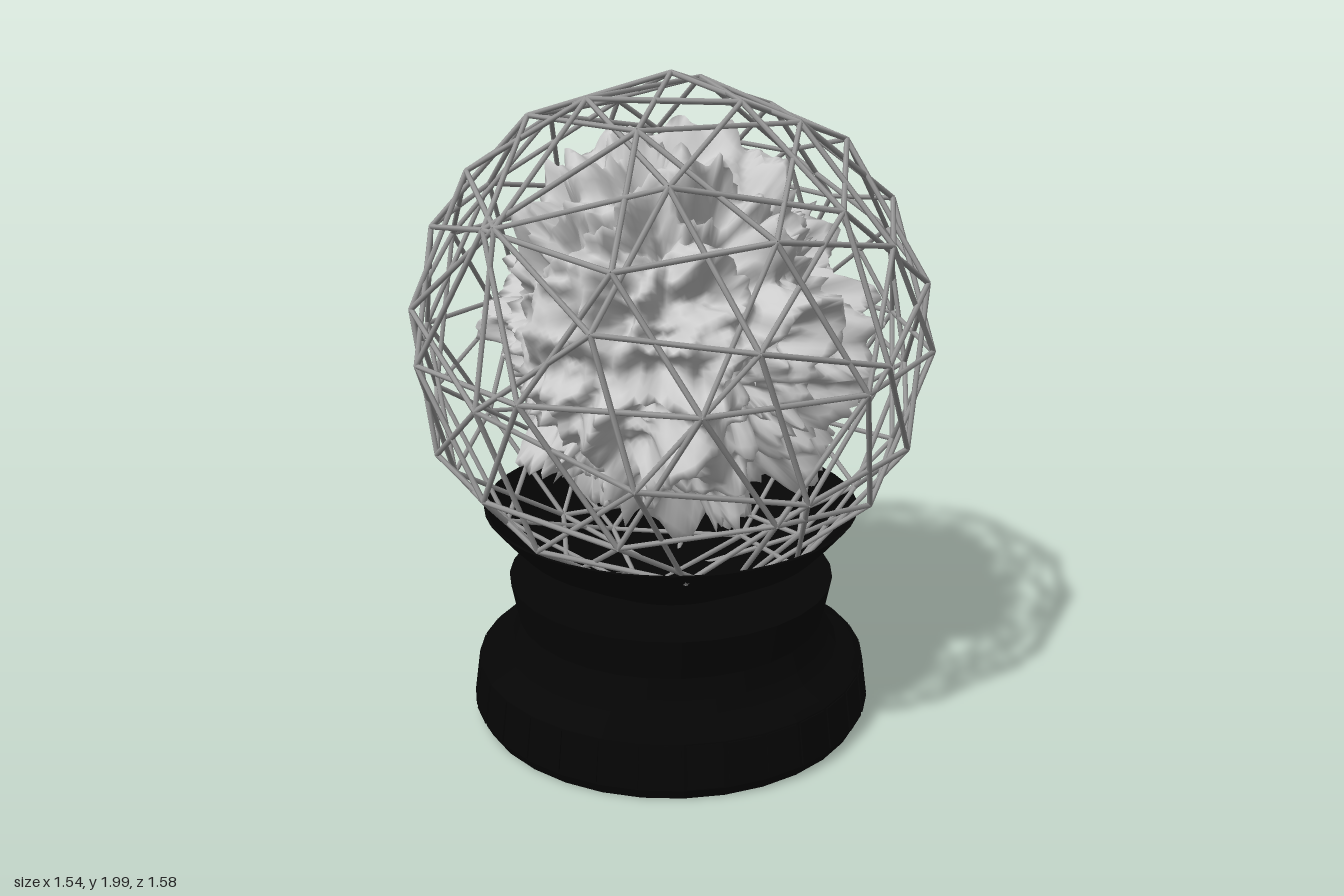
import * as THREE from 'three';
import { mergeVertices, mergeGeometries } from 'three/addons/utils/BufferGeometryUtils.js';

const CENTER_Y = 1.21, CAGE_R = 0.78;

// Smooth repeatable 3D noise in -1..1
function hash(x, y, z) {
  let h = Math.imul(x, 374761393) ^ Math.imul(y, 668265263) ^ Math.imul(z, 1274126177);
  h = Math.imul(h ^ (h >>> 13), 1103515245);
  return ((h ^ (h >>> 16)) >>> 0) / 2147483648 - 1;
}
function noise(x, y, z) {
  const [i, j, k] = [x, y, z].map(Math.floor);
  const [u, v, w] = [x - i, y - j, z - k].map(t => t * t * (3 - 2 * t));
  const mix = THREE.MathUtils.lerp;
  const row = (b, c) => mix(hash(i, b, c), hash(i + 1, b, c), u);
  return mix(mix(row(j, k), row(j + 1, k), v), mix(row(j, k + 1), row(j + 1, k + 1), v), w);
}

// Icosahedron with a corner at the top, each face split once
function sphereEdges() {
  const ring = (y, offset) => Array.from({ length: 5 }, (_, i) => {
    const a = (i * 72 + offset) * Math.PI / 180, r = 2 / Math.sqrt(5);
    return new THREE.Vector3(r * Math.cos(a), y, r * Math.sin(a));
  });
  const h = 1 / Math.sqrt(5);
  const corners = [new THREE.Vector3(0, 1, 0), ...ring(h, 0), ...ring(-h, 36), new THREE.Vector3(0, -1, 0)];
  const points = corners.map(c => c.clone());
  corners.forEach((a, i) => corners.slice(i + 1).forEach(b => {
    if (a.distanceTo(b) < 1.1) points.push(a.clone().add(b).normalize());
  }));
  const edges = [];
  points.forEach((a, i) => points.slice(i + 1).forEach(b => {
    if (a.distanceTo(b) < 0.65) edges.push([a, b]);
  }));
  return edges;
}

// Wire cage: one thin rod per edge
function cageGeometry() {
  const up = new THREE.Vector3(0, 1, 0);
  return mergeGeometries(sphereEdges().map(([a, b]) => {
    const p = a.clone().multiplyScalar(CAGE_R), q = b.clone().multiplyScalar(CAGE_R);
    const rod = new THREE.CylinderGeometry(0.008, 0.008, p.distanceTo(q), 6);
    rod.applyQuaternion(new THREE.Quaternion().setFromUnitVectors(up, q.clone().sub(p).normalize()));
    const m = p.add(q).multiplyScalar(0.5);
    return rod.translate(m.x, m.y, m.z);
  }));
}

// Crumpled core: a sphere pulled out into pointed, petal-like ridges
function coreGeometry() {
  let geo = new THREE.IcosahedronGeometry(1, 36);
  geo.deleteAttribute('normal');
  geo.deleteAttribute('uv');
  geo = mergeVertices(geo, 1e-4);
  const pos = geo.attributes.position, v = new THREE.Vector3();
  const ridge = (p, f, s) => 1 - Math.min(1, 1.8 * Math.abs(noise(p.x * f + s, p.y * f + s, p.z * f + s)));
  for (let i = 0; i < pos.count; i++) {
    v.fromBufferAttribute(pos, i);
    const n = s => noise(v.x * 3 + s, v.y * 3 + s, v.z * 3 + s);
    const warp = new THREE.Vector3(n(11), n(23), n(37)).multiplyScalar(0.12);
    const p = v.clone().add(warp);
    const r = 0.33 + 0.14 * ridge(p, 2.6, 5) + 0.14 * ridge(p, 4.6, 17) + 0.05 * ridge(p, 9, 41);
    v.addScaledVector(warp, 0.3).normalize().multiplyScalar(r);
    pos.setXYZ(i, v.x, v.y, v.z);
  }
  geo.computeVertexNormals();
  return geo;
}

function lathe(profile, segments) {
  return new THREE.LatheGeometry(profile.map(([x, y]) => new THREE.Vector2(x, y)), segments);
}

export function createModel() {
  const model = new THREE.Group();
  const black = new THREE.MeshStandardMaterial({ color: 0x050505, flatShading: true, side: THREE.DoubleSide });
  const grey = new THREE.MeshStandardMaterial({ color: 0xcccccc, side: THREE.DoubleSide });
  const metal = new THREE.MeshStandardMaterial({ color: 0x9a9a9a });
  const add = (name, geo, mat, y = 0) => {
    const mesh = new THREE.Mesh(geo, mat);
    mesh.name = name;
    mesh.position.y = y;
    model.add(mesh);
    return mesh;
  };

  // Stepped pedestal with a waist
  add('pedestal', lathe([[0, 0.005], [0.61, 0.005], [0.628, 0.04], [0.61, 0.18], [0.59, 0.195], [0.53, 0.225],
    [0.505, 0.26], [0.485, 0.32], [0.51, 0.45], [0, 0.45]], 32), black);

  // Raised panels around the foot
  const panels = new THREE.Group();
  panels.name = 'footPanels';
  for (let i = 0; i < 32; i++) {
    const holder = new THREE.Group();
    const panel = new THREE.Mesh(new THREE.BoxGeometry(0.105, 0.13, 0.02), black);
    panel.name = 'footPanel';
    panel.position.set(0, 0.11, 0.611);
    panel.rotation.x = -0.14;
    holder.rotation.y = (i + 0.5) * Math.PI / 16;
    holder.add(panel);
    panels.add(holder);
  }
  model.add(panels);

  // Open bowl on a short neck
  add('bowl', lathe([[0.27, 0.45], [0.28, 0.465], [0.38, 0.51], [0.475, 0.565], [0.53, 0.625], [0.58, 0.685],
    [0.57, 0.685], [0.52, 0.63], [0.465, 0.575], [0.37, 0.52], [0.27, 0.475], [0, 0.465]], 48), black);

  add('crumpledCore', coreGeometry(), grey, CENTER_Y + 0.02);

  // Two interlocking cages, the second one tilted
  const cage = cageGeometry();
  add('uprightCage', cage, metal, CENTER_Y);
  const y = new THREE.Vector3(0.28, 0.72, 0.1).normalize();
  const x = new THREE.Vector3(0.74, 0.04, 0.15);
  x.addScaledVector(y, -x.dot(y)).normalize();
  const tilt = new THREE.Matrix4().makeBasis(x, y, x.clone().cross(y));
  add('tiltedCage', cage, metal, CENTER_Y).quaternion.setFromRotationMatrix(tilt);

  return model;
}
